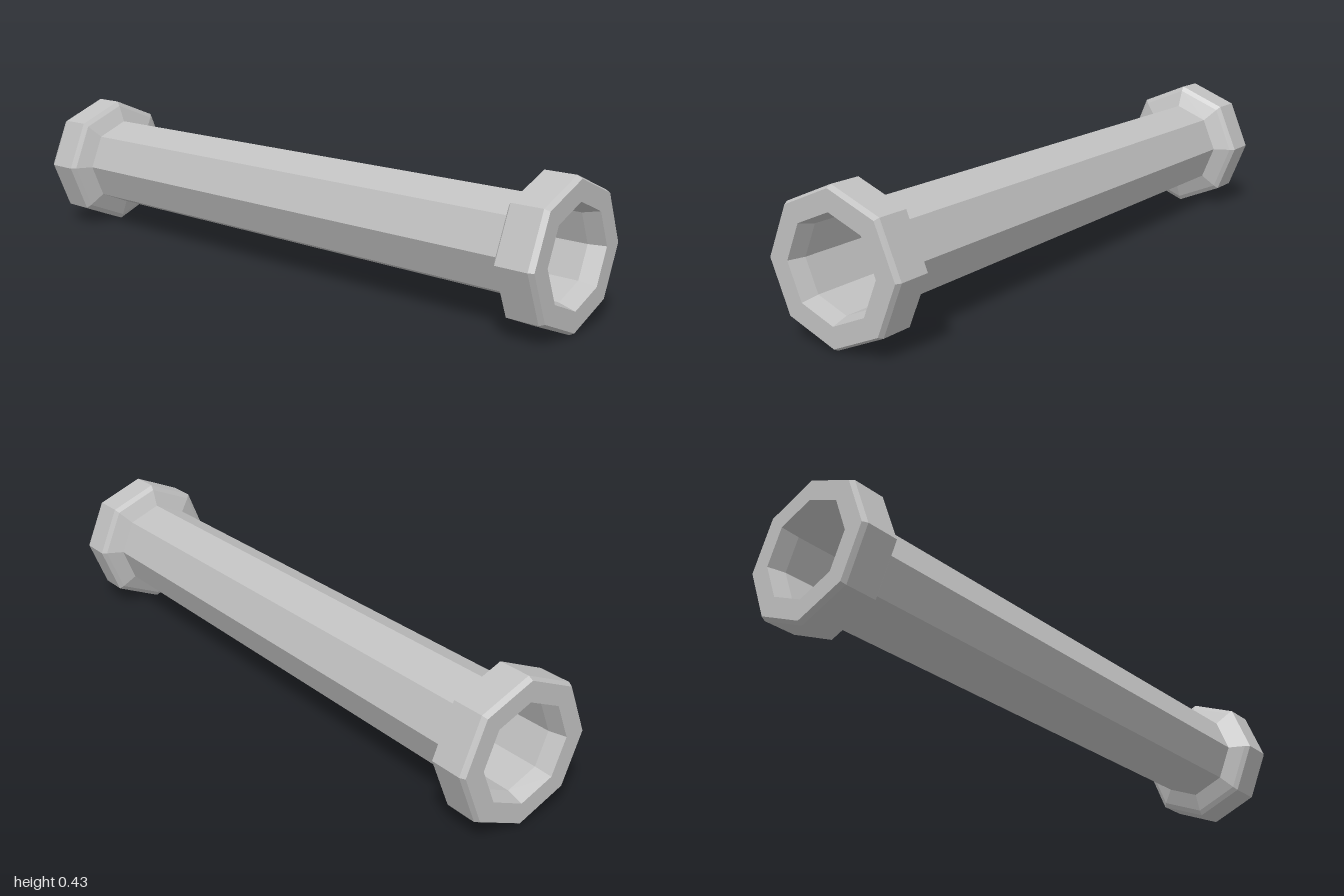
import * as THREE from 'three';

const SIDES = 8;
const CENTRE_Y = 0.215;

// Spin an [axial position, radius] profile into a faceted ring about the x axis
function spin(profile, material, name) {
  const points = profile.map(([x, r]) => new THREE.Vector2(r, x));
  const geometry = new THREE.LatheGeometry(points, SIDES).toNonIndexed();
  geometry.computeVertexNormals();
  geometry.rotateZ(-Math.PI / 2);
  const mesh = new THREE.Mesh(geometry, material);
  mesh.name = name;
  return mesh;
}

export function createModel() {
  const group = new THREE.Group();
  group.name = 'flangedPipe';
  const metal = new THREE.MeshStandardMaterial({ color: 0xc0c0c0, flatShading: true });
  metal.name = 'light grey metal';

  // Long pipe: outer wall, then bore
  const outerWall = spin([[-0.855, 0.147], [0.855, 0.147]], metal, 'pipeOuterWall');
  const bore = spin([[0.95, 0.133], [-0.95, 0.133]], metal, 'pipeBore');

  // Collar: sloped shoulder, bevelled rim, flat end and chamfered mouth
  const collarProfile = [
    [0.853, 0.147], [0.876, 0.2], [0.887, 0.215], [0.985, 0.215],
    [1, 0.207], [1, 0.147], [0.95, 0.133],
  ];
  const leftCollar = spin(collarProfile, metal, 'leftCollar');
  const rightCollar = spin(collarProfile, metal, 'rightCollar');
  rightCollar.rotation.y = Math.PI;

  group.add(outerWall, bore, leftCollar, rightCollar);
  group.children.forEach((part) => { part.position.y = CENTRE_Y; });
  return group;
}
